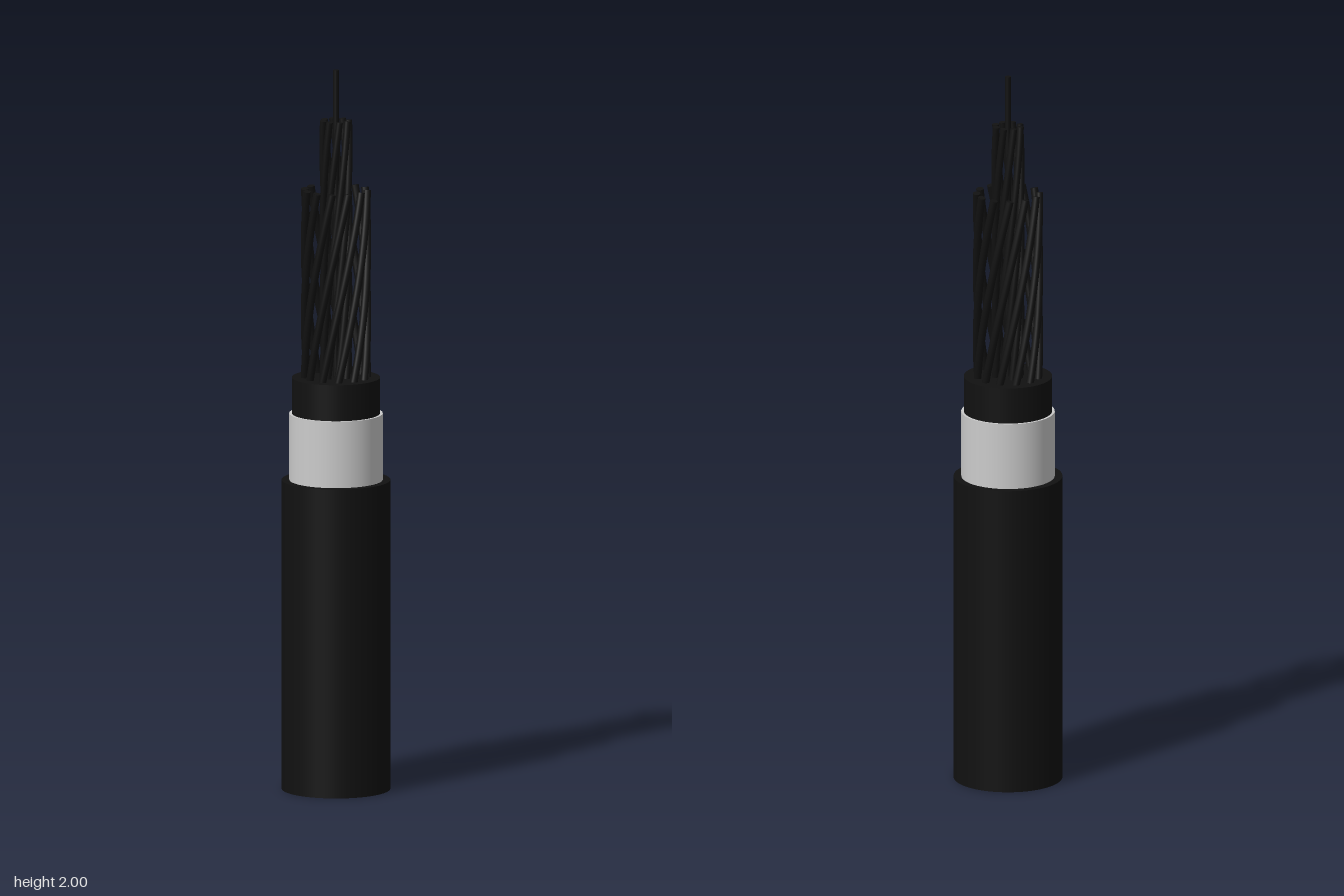
import * as THREE from 'three';

const black = new THREE.MeshStandardMaterial({ color: 0x111111 });
const grey = new THREE.MeshStandardMaterial({ color: 0xcccccc });

// Solid cable layer standing on y = 0
function layer(name, radius, height, material) {
  const mesh = new THREE.Mesh(new THREE.CylinderGeometry(radius, radius, height, 64), material);
  mesh.position.y = height / 2;
  mesh.name = name;
  return mesh;
}

// Helix around the cable axis
class Helix extends THREE.Curve {
  constructor(radius, bottom, top, pitch, phase) {
    super();
    Object.assign(this, { radius, bottom, top, pitch, phase });
  }
  getPoint(t, target = new THREE.Vector3()) {
    const y = THREE.MathUtils.lerp(this.bottom, this.top, t);
    const a = this.phase + (2 * Math.PI * (this.top - y)) / this.pitch;
    return target.set(this.radius * Math.cos(a), y, this.radius * Math.sin(a));
  }
}

// Ring of wires laid helically, each closed with a flat cut end
function strandRing(name, count, ringRadius, wireRadius, top, pitch) {
  const ring = new THREE.Group();
  ring.name = name;
  for (let i = 0; i < count; i++) {
    const curve = new Helix(ringRadius, 1.1, top, pitch, ((i + 0.5) / count) * Math.PI * 2);
    const wire = new THREE.Mesh(new THREE.TubeGeometry(curve, 40, wireRadius, 12), black);
    wire.name = 'wire';
    const end = new THREE.Mesh(new THREE.CircleGeometry(wireRadius, 12), black);
    end.name = 'wireEnd';
    end.position.copy(curve.getPoint(1));
    end.lookAt(end.position.clone().add(curve.getTangent(1)));
    ring.add(wire, end);
  }
  return ring;
}

export function createModel() {
  const cable = new THREE.Group();
  cable.name = 'strippedCable';

  // Stepped sheath layers
  cable.add(
    layer('outerSheath', 0.149, 0.86, black),
    layer('metalScreen', 0.128, 1.045, grey),
    layer('innerInsulation', 0.121, 1.145, black)
  );

  // Exposed conductor: two twisted layers around a straight core
  cable.add(
    strandRing('outerStrands', 12, 0.086, 0.0105, 1.668, 2.4),
    strandRing('innerStrands', 8, 0.036, 0.0095, 1.86, 1.8),
    layer('coreWire', 0.008, 2, black)
  );
  return cable;
}
